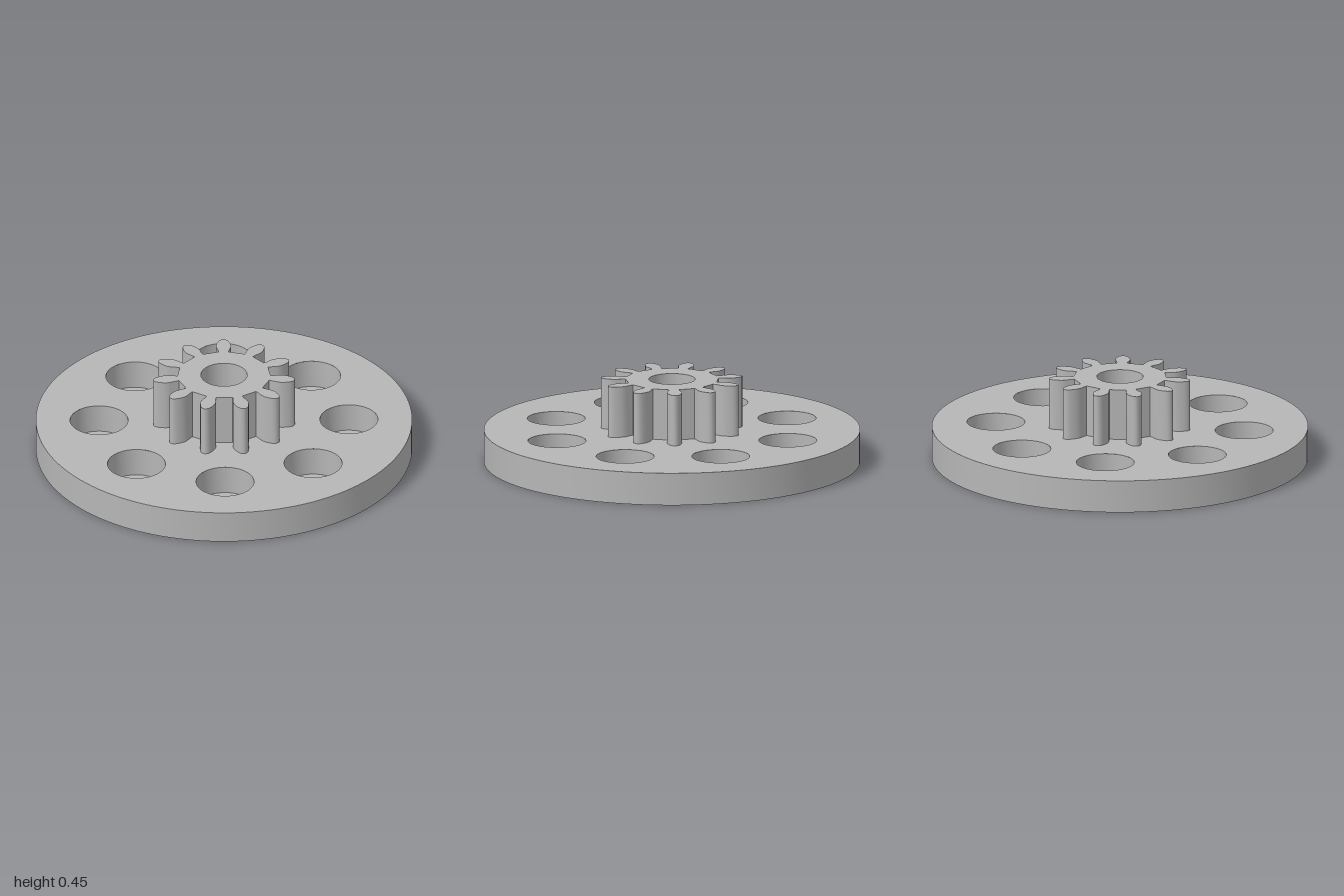
import * as THREE from 'three';
import { toCreasedNormals } from 'three/addons/utils/BufferGeometryUtils.js';

const DISC_R = 1, DISC_H = 0.175, TOP = 0.45, BORE_R = 0.123;
const POCKET_R = 0.154, POCKET_RING = 0.664, POCKET_FLOOR = 0.02, POCKETS = 8;
const TEETH = 11;

const vec = ([x, y]) => new THREE.Vector2(x, y);
const hole = (x, y, r) => new THREE.Path().absarc(x, y, r, 0, Math.PI * 2, true);
const lathe = (points, segments) =>
  toCreasedNormals(new THREE.LatheGeometry(points.map(vec), segments), 0.6);

// Toothed outline: each tooth is narrow at the root, bulges, then rounds off
function pinionShape() {
  const flank = [[0.246, 0.026], [0.27, 0.031], [0.295, 0.039], [0.315, 0.04],
    [0.335, 0.036], [0.355, 0.029], [0.369, 0.021], [0.377, 0.011]];
  const tooth = [
    ...flank.map(([r, w]) => [w, r]),
    [0, 0.38],
    ...flank.map(([r, w]) => [-w, r]).reverse(),
  ];
  const points = [];
  for (let i = 0; i < TEETH; i++) {
    const angle = (i / TEETH) * Math.PI * 2;
    for (const p of tooth) points.push(vec(p).rotateAround(new THREE.Vector2(), angle));
  }
  const shape = new THREE.Shape(points);
  shape.holes.push(hole(0, 0, BORE_R));
  return shape;
}

export function createModel() {
  const group = new THREE.Group();
  group.name = 'compoundGear';
  const grey = new THREE.MeshStandardMaterial({ color: 0xb6b6b6 });
  grey.name = 'grey';

  const add = (name, geometry) => {
    const mesh = new THREE.Mesh(geometry, grey);
    mesh.name = name;
    group.add(mesh);
    return mesh;
  };

  // Disc bore, underside and rim
  add('discBody', lathe([[BORE_R, DISC_H], [BORE_R, 0], [DISC_R, 0], [DISC_R, DISC_H]], 128));

  // Disc top face, open at the bore and the pockets
  const face = new THREE.Shape().absarc(0, 0, DISC_R, 0, Math.PI * 2);
  face.holes.push(hole(0, 0, BORE_R));

  // Blind round pockets in a ring
  const pocket = lathe([[POCKET_R, DISC_H], [POCKET_R, POCKET_FLOOR], [0, POCKET_FLOOR]], 64);
  for (let i = 0; i < POCKETS; i++) {
    const a = (i / POCKETS) * Math.PI * 2;
    const x = Math.cos(a) * POCKET_RING, z = Math.sin(a) * POCKET_RING;
    face.holes.push(hole(x, -z, POCKET_R));
    add('pocket' + (i + 1), pocket).position.set(x, 0, z);
  }
  add('discTop', new THREE.ShapeGeometry(face, 64).rotateX(-Math.PI / 2).translate(0, DISC_H, 0));

  // Pinion standing on the disc
  const pinion = new THREE.ExtrudeGeometry(pinionShape(), {
    depth: TOP - DISC_H, bevelEnabled: false, curveSegments: 64,
  });
  pinion.rotateX(-Math.PI / 2).translate(0, DISC_H, 0);
  add('pinion', toCreasedNormals(pinion, 0.6));

  return group;
}
